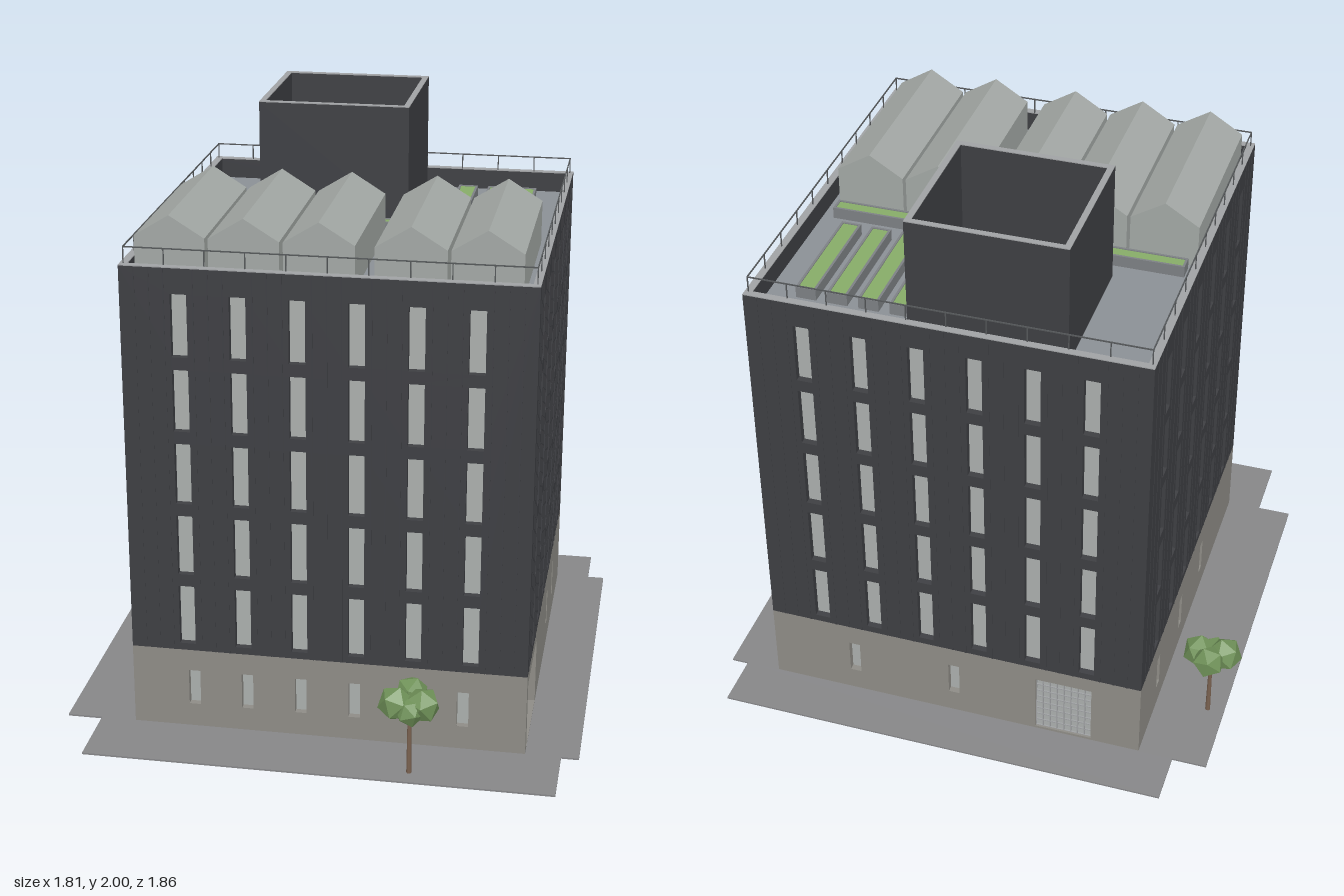
import * as THREE from 'three';

const mat = (color, extra = {}) => new THREE.MeshStandardMaterial({ color, ...extra });
const M = {
  dark: mat(0x3e3f43), stone: mat(0x8e8c86), glass: mat(0xabafad), house: mat(0xa3a8a5),
  paving: mat(0x868688), roof: mat(0x8b9095), trim: mat(0xa0a2a4), metal: mat(0x55585a),
  green: mat(0x86ac68), planter: mat(0x7d8084), black: mat(0x4a4b4d),
  leaf: mat(0x6f9158, { flatShading: true }), bark: mat(0x7a6250),
};
// Building footprint and levels
const X0 = -0.624, X1 = 0.724, Z0 = -0.743, Z1 = 0.66;
const CX = (X0 + X1) / 2, CZ = (Z0 + Z1) / 2, W = X1 - X0, D = Z1 - Z0;
const SPLIT = 0.295, TOP = 1.65, ROOF = 1.58, T = 0.025, GY = 0.006;

function add(parent, name, geo, material) {
  const m = new THREE.Mesh(geo, material);
  m.name = name;
  parent.add(m);
  return m;
}
// Box given by its limits on each axis
function box(parent, name, x0, x1, y0, y1, z0, z1, material) {
  const g = new THREE.BoxGeometry(x1 - x0, y1 - y0, z1 - z0);
  return add(parent, name, g.translate((x0 + x1) / 2, (y0 + y1) / 2, (z0 + z1) / 2), material);
}
const polygon = pts => pts.map(p => new THREE.Vector2(...p));
const rect = (x0, x1, y0, y1) => polygon([[x0, y0], [x1, y0], [x1, y1], [x0, y1]]);
const extrude = (pts, holes, depth) => {
  const s = new THREE.Shape(pts);
  holes.forEach(h => s.holes.push(new THREE.Path(h.slice().reverse())));
  return new THREE.ExtrudeGeometry(s, { depth, bevelEnabled: false });
};
// Hollow rectangular ring standing between two heights
function ring(parent, name, x0, x1, z0, z1, t, y0, y1, material) {
  const g = extrude(rect(x0, x1, -z1, -z0), [rect(x0 + t, x1 - t, -z1 + t, -z0 - t)], y1 - y0);
  return add(parent, name, g.rotateX(-Math.PI / 2).translate(0, y0, 0), material);
}

// One facade in local coordinates: outer face on z = 0, holes with recessed panes
function facade(root, side) {
  const f = new THREE.Group();
  f.name = side.name;
  f.position.set(...side.pos);
  f.rotation.y = side.rot;
  root.add(f);
  const half = side.width / 2;
  const upper = [], lower = [...(side.openings || [])];
  for (const u of side.columns)
    for (let k = 0; k < 5; k++) {
      const y = 0.427 + 0.2575 * k;
      upper.push([u - 0.027, u + 0.027, y - 0.107, y + 0.107]);
    }
  for (const u of side.small) lower.push([u - 0.02, u + 0.02, 0.09, 0.218]);
  const wall = (name, y0, y1, holes, m) =>
    add(f, name, extrude(rect(-half, half, y0, y1), holes.map(h => rect(...h)), T).translate(0, 0, -T), m);
  wall('upperWall', SPLIT, TOP, upper, M.dark);
  wall('baseWall', GY, SPLIT, lower, M.stone);
  for (const [a, b, c, d] of [...upper, ...lower.slice((side.openings || []).length)])
    box(f, 'windowPane', a - 0.004, b + 0.004, c - 0.004, d + 0.004, -T - 0.008, -T + 0.002, M.glass);
  // Fine vertical cladding seams between window columns
  for (let i = 0; i <= side.columns.length; i++) {
    const mid = side.columns[0] + (i - 0.5) * side.pitch;
    for (const o of [-0.048, 0, 0.048])
      if (Math.abs(mid + o) < half - 0.01)
        box(f, 'claddingSeam', mid + o - 0.002, mid + o + 0.002, SPLIT, TOP, -0.001, 0.0015, M.dark);
  }
  return f;
}

// Deep glazed entrance set into the right facade
function entrance(f, [a, b, c, d]) {
  const depth = 0.14, w = 0.006;
  box(f, 'entranceSide', a - w, a, c, d, -depth, -T, M.stone);
  box(f, 'entranceSide', b, b + w, c, d, -depth, -T, M.stone);
  box(f, 'entranceCeiling', a - w, b + w, d, d + w, -depth, -T, M.stone);
  box(f, 'entranceFloor', a, b, GY, c, -depth, -T, M.paving);
  box(f, 'entranceGlass', a, b, c, d, -depth - w, -depth, M.glass);
  for (let i = 0; i <= 4; i++) {
    const u = a + 0.003 + (b - a - 0.006) * i / 4;
    box(f, 'mullion', u - 0.003, u + 0.003, c, d, -depth, -depth + 0.006, M.metal);
  }
  for (const y of [c + 0.003, 0.135, d - 0.003])
    box(f, 'transom', a, b, y - 0.003, y + 0.003, -depth, -depth + 0.006, M.metal);
  const m = (a + b) / 2;
  box(f, 'doorHandle', m - 0.007, m + 0.007, 0.07, 0.1, -depth, -depth + 0.012, M.black);
}

// Perforated service door on the back
function serviceDoor(f, [a, b, c, d]) {
  box(f, 'servicePanel', a, b, c, d, -T, -0.012, M.glass);
  for (let i = 0; i <= 8; i++) {
    const u = a + (b - a) * i / 8, y = c + (d - c) * i / 8;
    box(f, 'grilleBar', u - 0.002, u + 0.002, c, d, -0.012, -0.007, M.trim);
    box(f, 'grilleBar', a, b, y - 0.002, y + 0.002, -0.012, -0.007, M.trim);
  }
}

function railing(root) {
  const r = new THREE.Group();
  r.name = 'railing';
  root.add(r);
  const a = X0 + 0.012, b = X1 - 0.012, c = Z0 + 0.022, d = Z1 - 0.022, h = 0.0018;
  const post = (x, z) => box(r, 'railPost', x - h, x + h, TOP, 1.708, z - h, z + h, M.metal);
  for (const z of [c, d]) {
    box(r, 'handrail', a, b, 1.705, 1.709, z - h, z + h, M.metal);
    for (let i = 0; i <= 10; i++) post(a + (b - a) * i / 10, z);
  }
  for (const x of [a, b]) {
    box(r, 'handrail', x - h, x + h, 1.705, 1.709, c, d, M.metal);
    for (let i = 1; i < 10; i++) post(x, c + (d - c) * i / 10);
  }
}

function planter(root, x0, x1, z0, z1) {
  ring(root, 'planterRim', x0, x1, z0, z1, 0.008, ROOF, ROOF + 0.04, M.planter);
  box(root, 'planting', x0 + 0.008, x1 - 0.008, ROOF, ROOF + 0.037, z0 + 0.008, z1 - 0.008, M.green);
}

function tree(root, x, z) {
  const t = new THREE.Group();
  t.name = 'tree';
  t.position.set(x, 0, z);
  root.add(t);
  add(t, 'trunk', new THREE.CylinderGeometry(0.006, 0.009, 0.25, 7).translate(0, 0.13, 0), M.bark);
  [[0, 0.28, -0.045, 0.058], [-0.043, 0.27, 0.018, 0.062], [0.043, 0.268, 0.01, 0.062], [0.005, 0.255, 0.04, 0.05]]
    .forEach(([px, py, pz, r], i) => {
      const m = add(t, 'foliage', new THREE.IcosahedronGeometry(r, 0), M.leaf);
      m.position.set(px, py, pz);
      m.rotation.set(0.3 * i, 0.8 * i, 0.2);
    });
}

export function createModel() {
  const root = new THREE.Group();
  root.name = 'building';

  // Notched paving slab
  const slab = polygon([[-0.745, -0.905], [0.845, -0.905], [0.845, -0.66], [0.905, -0.66], [0.905, 0.745], [0.845, 0.745],
    [0.845, 0.93], [-0.745, 0.93], [-0.745, 0.745], [-0.865, 0.745], [-0.865, -0.66], [-0.745, -0.66]]);
  add(root, 'paving', extrude(slab, [], GY).rotateX(-Math.PI / 2), M.paving);

  // Four facades
  const xs = [0, 1, 2, 3, 4, 5].map(i => -0.43 + 0.1925 * i);
  const zs = [0, 1, 2, 3, 4, 5].map(i => -0.54 + 0.2012 * i);
  const door = [-0.62 + CZ, -0.295 + CZ, 0.01, 0.253], service = [CX + 0.25, CX + 0.45, 0.015, 0.24];
  facade(root, { name: 'frontFacade', pos: [CX, 0, Z1], rot: 0, width: W, pitch: 0.1925,
    columns: xs.map(x => x - CX), small: [0, 1, 2, 3, 4, 5].map(i => -0.41 + 0.184 * i - CX) });
  const right = facade(root, { name: 'rightFacade', pos: [X1, 0, CZ], rot: Math.PI / 2, width: D, pitch: 0.2012,
    columns: zs.map(z => CZ - z).reverse(), small: [CZ + 0.158, CZ + 0.403], openings: [door] });
  const back = facade(root, { name: 'backFacade', pos: [CX, 0, Z0], rot: Math.PI, width: W, pitch: 0.1925,
    columns: xs.map(x => CX - x).reverse(), small: [CX - 0.42, CX - 0.05], openings: [service] });
  facade(root, { name: 'leftFacade', pos: [X0, 0, CZ], rot: -Math.PI / 2, width: D, pitch: 0.2012,
    columns: zs.map(z => z - CZ), small: [-0.49 - CZ, -0.17 - CZ, 0.145 - CZ] });
  entrance(right, door);
  serviceDoor(back, service);

  // Roof deck, coping and railing
  box(root, 'roofDeck', X0 + 0.02, X1 - 0.02, ROOF - 0.015, ROOF, Z0 + 0.02, Z1 - 0.02, M.roof);
  ring(root, 'parapetCoping', X0, X1, Z0, Z1, T, TOP, TOP + 0.003, M.trim);
  railing(root);

  // Open-topped plant enclosure with its equipment
  ring(root, 'plantEnclosure', -0.34, 0.187, -0.697, -0.193, 0.02, ROOF, 1.997, M.dark);
  ring(root, 'enclosureCoping', -0.34, 0.187, -0.697, -0.193, 0.02, 1.997, 2, M.trim);
  box(root, 'enclosureDoor', -0.02, 0.06, ROOF, 1.72, -0.194, -0.189, M.black);
  box(root, 'airUnit', -0.27, -0.088, ROOF, 1.68, -0.547, -0.43, M.trim);
  add(root, 'airUnitFan', new THREE.CylinderGeometry(0.032, 0.032, 0.02, 20).translate(-0.178, 1.69, -0.488), M.black);
  for (const z of [-0.525, -0.39])
    add(root, 'tank', new THREE.CylinderGeometry(0.043, 0.043, 0.12, 24).translate(0.055, ROOF + 0.06, z), M.trim);
  box(root, 'controlCabinet', -0.213, -0.068, ROOF, 1.66, -0.33, -0.282, M.black);

  // Gabled rooftop greenhouses
  for (const x of [-0.475, -0.232, 0.012, 0.307, 0.55]) {
    const w = 0.116;
    const gable = polygon([[x - w, ROOF], [x + w, ROOF], [x + w, 1.728], [x, 1.8], [x - w, 1.728]]);
    add(root, 'greenhouse', extrude(gable, [], 0.63).translate(0, 0, -0.052), M.house);
  }

  // Planting beds
  for (let i = 0; i < 4; i++) planter(root, 0.21 + 0.107 * i, 0.279 + 0.107 * i, -0.61, -0.2);
  planter(root, -0.565, -0.015, -0.13, -0.075);
  planter(root, 0.11, 0.66, -0.13, -0.075);

  tree(root, -0.807, -0.475);
  tree(root, 0.356, 0.843);
  return root;
}
